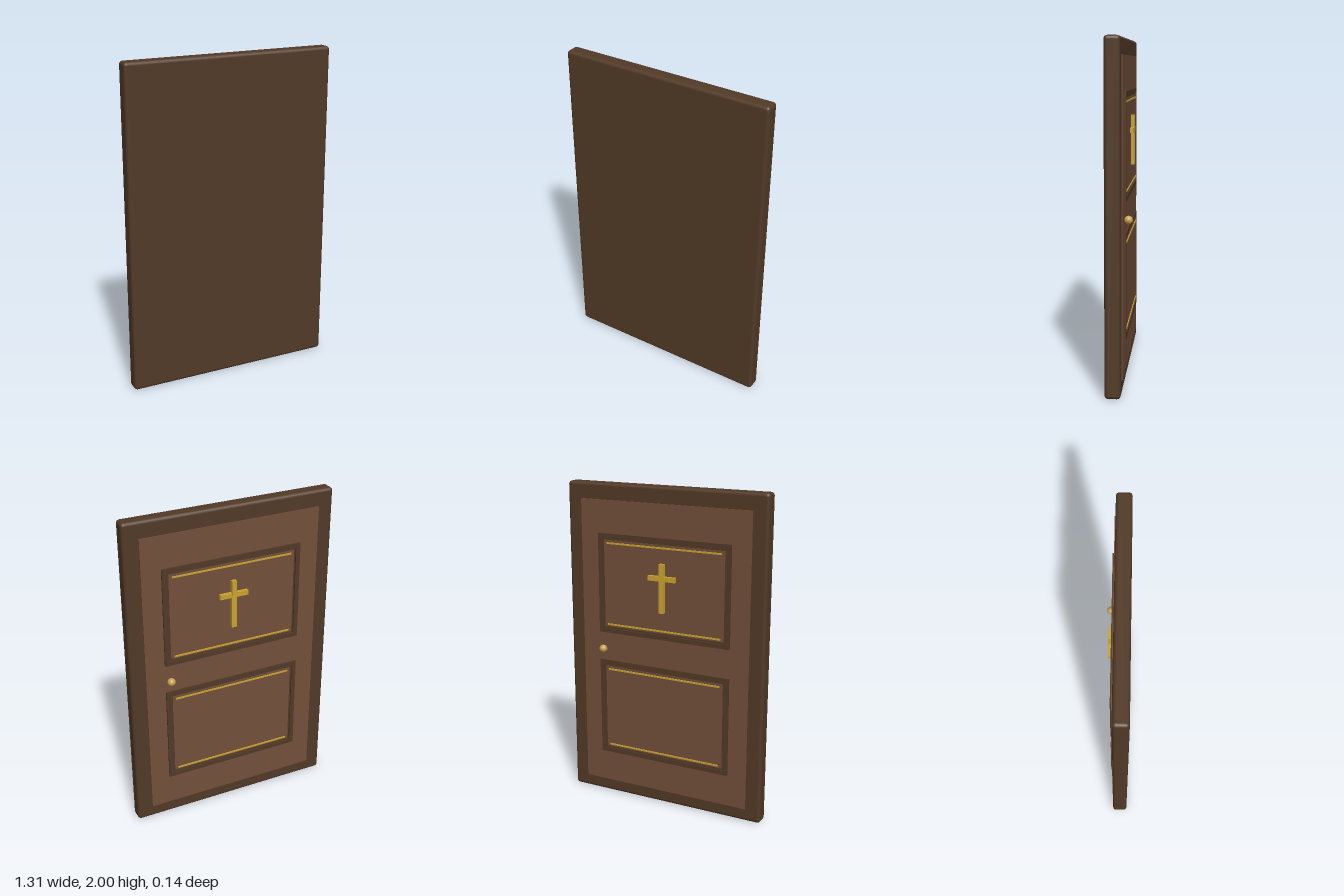
import * as THREE from 'three';
import { RoundedBoxGeometry } from 'three/addons/geometries/RoundedBoxGeometry.js';

const mat = (name, color) => {
  const m = new THREE.MeshStandardMaterial({ color });
  m.name = name;
  return m;
};

export function createModel() {
  const door = new THREE.Group();
  door.name = 'door';
  const darkWood = mat('dark wood', 0x523a27);
  const wood = mat('warm wood', 0x74503a);
  const gold = mat('gold', 0xcba430);
  const brass = mat('brass', 0xc9a050);

  const add = (parent, name, geo, material, x, y, z) => {
    const m = new THREE.Mesh(geo, material);
    m.name = name;
    m.position.set(x, y, z);
    parent.add(m);
    return m;
  };
  // Box given by its extents, z0 being the face toward the back
  const slab = (parent, name, material, w, y0, y1, z0, z1 = 0, x = 0) =>
    add(parent, name, new THREE.BoxGeometry(w, y1 - y0, z1 - z0), material, x, (y0 + y1) / 2, (z0 + z1) / 2);

  // Rounded outer frame and the door leaf standing just proud of it
  add(door, 'frame', new RoundedBoxGeometry(1.31, 2, 0.09, 3, 0.02), darkWood, 0, 1, 0.025);
  slab(door, 'leaf', wood, 1.12, 0.08, 1.9, -0.025);

  // Two framed panels, each with a pair of thin gold strips
  for (const [name, y0, y1] of [['upperPanel', 1.08, 1.7], ['lowerPanel', 0.28, 0.9]]) {
    const panel = new THREE.Group();
    panel.name = name;
    door.add(panel);
    const bar = 0.028;
    slab(panel, 'groove', darkWood, 0.86, y0 + 0.01, y1 - 0.01, -0.027);
    slab(panel, 'mouldingTop', darkWood, 0.88, y1 - bar, y1, -0.035);
    slab(panel, 'mouldingBottom', darkWood, 0.88, y0, y0 + bar, -0.035);
    for (const s of [-1, 1])
      slab(panel, 'mouldingSide', darkWood, bar, y0 + bar, y1 - bar, -0.035, 0, s * (0.44 - bar / 2));
    slab(panel, 'panelField', wood, 0.8, y0 + 0.04, y1 - 0.04, -0.031);
    for (const y of [y0 + 0.055, y1 - 0.058])
      slab(panel, 'goldStrip', gold, 0.76, y - 0.005, y + 0.005, -0.036, -0.025);
  }

  // Raised cross on the upper panel
  const cross = new THREE.Group();
  cross.name = 'cross';
  door.add(cross);
  slab(cross, 'upright', gold, 0.03, 1.25, 1.55, -0.053, -0.03);
  slab(cross, 'crossArm', gold, 0.18, 1.445, 1.475, -0.0525, -0.03);

  // Round knob
  add(door, 'knob', new THREE.SphereGeometry(0.025, 24, 16), brass, 0.41, 0.975, -0.047);
  return door;
}
